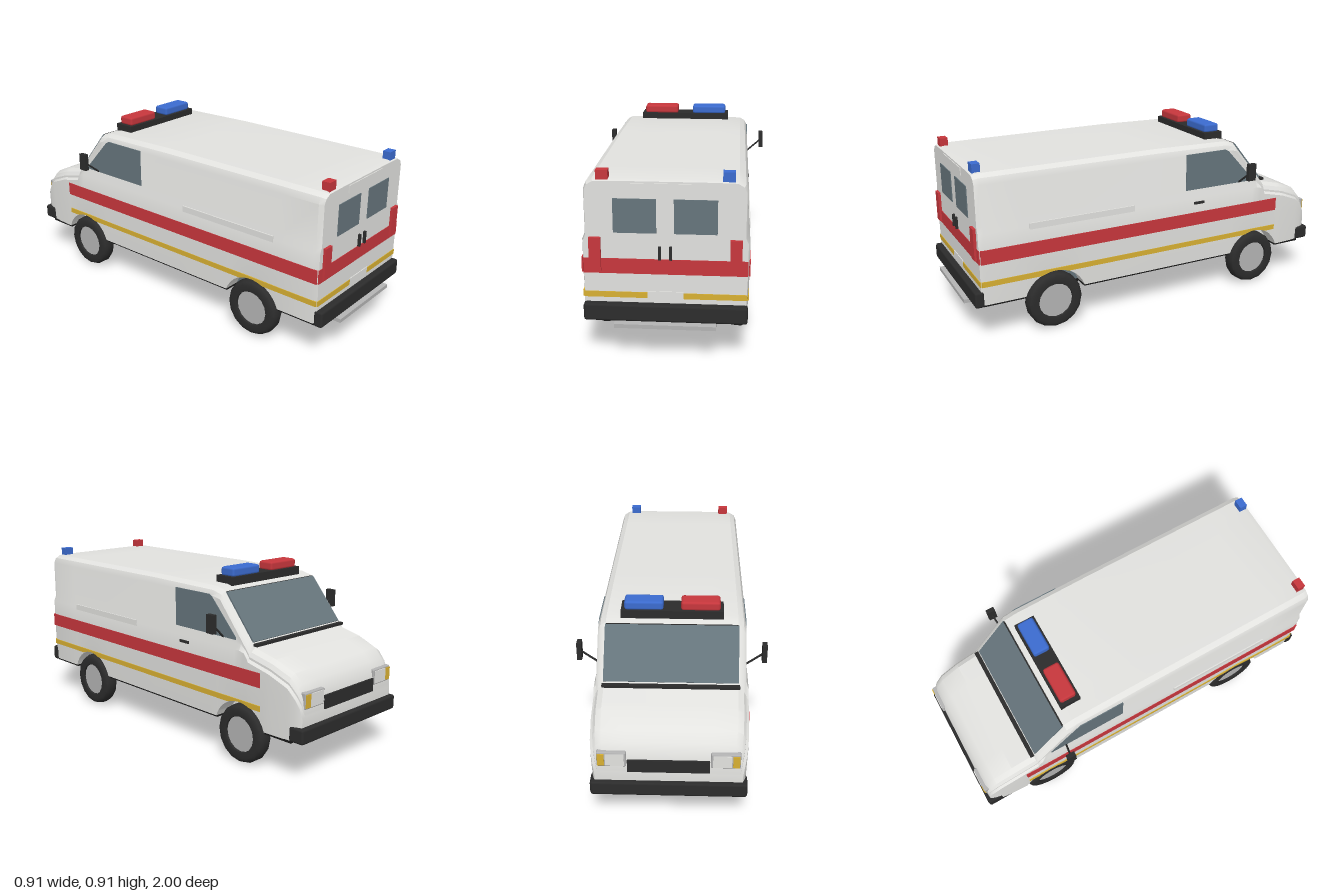
import * as THREE from 'three';
import { toCreasedNormals } from 'three/addons/utils/BufferGeometryUtils.js';
import { RoundedBoxGeometry } from 'three/addons/geometries/RoundedBoxGeometry.js';

const mat = (name, color) => Object.assign(new THREE.MeshStandardMaterial({ color }), { name });
const M = {
  white: mat('body white', 0xe2e2df),
  glass: mat('window glass', 0x66757c),
  red: mat('signal red', 0xc8373d),
  blue: mat('signal blue', 0x3c6cd0),
  yellow: mat('stripe yellow', 0xd8b033),
  black: mat('trim black', 0x2c2c2c),
  floor: mat('underbody black', 0x191919),
  grey: mat('metal grey', 0xb4b4b4),
};

const REAR = 0.575, FRONT = -0.617, AXLE = 0.145, ARCH = 0.165, SILL = 0.2;
// roof and bonnet line: z, height, side inset
const PROFILE = [
  [0.95, 0.83, 0.008], [0.925, 0.836, 0.001], [0, 0.838, 0], [-0.42, 0.83, 0], [-0.477, 0.815, 0],
  [-0.665, 0.59, 0], [-0.672, 0.575, 0], [-0.8, 0.545, 0.002], [-0.905, 0.503, 0.008],
  [-0.945, 0.46, 0.014], [-0.968, 0.42, 0.022], [-0.978, 0.37, 0.03],
];

function profileAt(z) {
  const i = Math.max(1, PROFILE.findIndex(p => p[0] <= z + 1e-9));
  const [a, b] = [PROFILE[i - 1], PROFILE[i]];
  const t = (a[0] - z) / (a[0] - b[0]);
  return [a[1] + (b[1] - a[1]) * t, a[2] + (b[2] - a[2]) * t];
}

function sillAt(z) {
  for (const c of [REAR, FRONT]) {
    const d = Math.abs(z - c);
    if (d < ARCH) return Math.max(SILL, AXLE + Math.sqrt(ARCH * ARCH - d * d));
  }
  return SILL;
}

// right half of the cross-section, from floor to roof
function section(z) {
  const [t, inset] = profileAt(z);
  const s = sillAt(z);
  return [
    [0.27, SILL], [0.27, s], [0.362 - inset, s],
    [0.368 - inset, Math.min(0.4, t - 0.09)],
    [0.368 - inset, Math.min(0.56, t - 0.06)],
    [0.356 - inset, Math.min(0.588, t - 0.048)],
    [0.356 - inset, Math.min(0.79, t - 0.037)],
    [0.344 - inset, Math.min(0.82, t - 0.016)],
    [0.317 - inset, t], [0.2, t + 0.002],
  ];
}

function bodyGeometry() {
  const zs = PROFILE.map(p => p[0]);
  const a0 = Math.asin((SILL - AXLE) / ARCH);
  for (const c of [REAR, FRONT])
    for (let i = 0; i <= 14; i++) zs.push(c + ARCH * Math.cos(a0 + (Math.PI - 2 * a0) * i / 14));
  zs.sort((a, b) => b - a);
  const pos = [], index = [];
  let n = 0;
  for (const z of zs) {
    const half = section(z);
    const ring = [...half, ...half.map(([x, y]) => [-x, y]).reverse()];
    n = ring.length;
    for (const [x, y] of ring) pos.push(x, y, z);
  }
  const at = k => new THREE.Vector3().fromArray(pos, k * 3);
  const tri = (a, b, c) => {
    const area = at(b).sub(at(a)).cross(at(c).sub(at(a))).length();
    if (area > 1e-9) index.push(a, b, c);
  };
  const quad = (a, b, c, d) => { tri(a, b, c); tri(a, c, d); };
  for (let i = 0; i < zs.length - 1; i++)
    for (let j = 0; j < n; j++) {
      const k = (j + 1) % n, p = i * n, q = p + n;
      quad(p + j, q + j, q + k, p + k);
    }
  // rear and nose caps
  const last = (zs.length - 1) * n;
  for (let j = 0; j < n / 2 - 1; j++) {
    quad(j, j + 1, n - 2 - j, n - 1 - j);
    quad(last + n - 1 - j, last + n - 2 - j, last + j + 1, last + j);
  }
  const g = new THREE.BufferGeometry();
  g.setAttribute('position', new THREE.Float32BufferAttribute(pos, 3));
  g.setIndex(index);
  return toCreasedNormals(g, 0.5);
}

export function createModel() {
  const van = new THREE.Group();
  van.name = 'emergencyVan';
  const add = (name, geo, material, x = 0, y = 0, z = 0) => {
    const m = new THREE.Mesh(geo, material);
    m.name = name;
    m.position.set(x, y, z);
    van.add(m);
    return m;
  };
  // box given by its limits on each axis
  const box = (name, material, [x0, x1], [y0, y1], [z0, z1], r = 0) => {
    const d = [x1 - x0, y1 - y0, z1 - z0];
    const g = r ? new RoundedBoxGeometry(...d, 1, r) : new THREE.BoxGeometry(...d);
    return add(name, g, material, (x0 + x1) / 2, (y0 + y1) / 2, (z0 + z1) / 2);
  };
  // thin plates on both sides, outline in (z, y)
  const sidePlates = (name, material, pts, x, depth = 0.006) => {
    const shape = new THREE.Shape(pts.map(([z, y]) => new THREE.Vector2(-z, y)));
    const g = new THREE.ExtrudeGeometry(shape, { depth, bevelEnabled: false }).rotateY(Math.PI / 2);
    add(name + 'Left', g, material, x);
    add(name + 'Right', g, material, -x - depth);
  };
  const rect = (z0, z1, y0, y1) => [[z0, y0], [z1, y0], [z1, y1], [z0, y1]];

  add('body', bodyGeometry(), M.white);

  // underbody between and beside the wheel wells
  box('floor', M.floor, [-0.285, 0.285], [0.19, 0.201], [-0.95, 0.94]);
  const wells = Math.sqrt(ARCH ** 2 - (SILL - AXLE) ** 2);
  for (const s of [-1, 1])
    for (const [z0, z1] of [[REAR + wells, 0.94], [FRONT + wells, REAR - wells], [-0.93, FRONT - wells]])
      box('floorSide', M.floor, s < 0 ? [-0.355, -0.28] : [0.28, 0.355], [0.19, 0.201], [z0, z1]);

  // side stripes, the yellow one cut by the arches
  sidePlates('redStripe', M.red, rect(-0.75, 0.945, 0.41, 0.48), 0.3645);
  const lower = [];
  for (let i = 0; i <= 120; i++) {
    const z = -0.75 + 1.695 * i / 120;
    lower.push([z, Math.max(0.295, sillAt(z))]);
  }
  sidePlates('yellowStripe', M.yellow, [...lower, [0.945, 0.322], [-0.75, 0.322]], 0.362);
  sidePlates('sidePanel', M.white, rect(0.14, 0.7, 0.545, 0.576), 0.365);

  // glazing
  sidePlates('cabWindow', M.glass,
    [[-0.166, 0.603], [-0.585, 0.603], [-0.585, 0.615], [-0.425, 0.785], [-0.405, 0.795], [-0.166, 0.795]], 0.3525);
  const screen = add('windscreen', new THREE.BoxGeometry(0.64, 0.275, 0.008), M.glass, 0, 0.7045, -0.573);
  screen.rotation.x = 0.696;
  box('windscreenBase', M.black, [-0.325, 0.325], [0.582, 0.595], [-0.69, -0.668]);
  box('windscreenTop', M.black, [-0.315, 0.315], [0.806, 0.813], [-0.488, -0.48]);

  // rear doors
  for (const s of [-1, 1]) {
    const span = (a, b) => (s < 0 ? [-b, -a] : [a, b]);
    box('rearWindow', M.glass, span(0.038, 0.226), [0.6, 0.755], [0.947, 0.954]);
    box('rearHandle', M.black, span(0.018, 0.03), [0.48, 0.541], [0.947, 0.962]);
    box('rearYellowStripe', M.yellow, span(0.08, 0.361), [0.295, 0.322], [0.947, 0.953]);
    box('tailLight', M.red, span(0.282, 0.334), [0.421, 0.578], [0.945, 0.964]);
    box('cornerBeacon', s < 0 ? M.red : M.blue, span(0.245, 0.298), [0.828, 0.876], [0.9, 0.94]);
    // headlights with indicator corners
    box('headlightFrame', M.grey, span(0.19, 0.325), [0.352, 0.43], [-0.981, -0.94], 0.006);
    box('headlight', M.white, span(0.2, 0.285), [0.36, 0.422], [-0.985, -0.976]);
    box('indicator', M.yellow, span(0.29, 0.321), [0.36, 0.422], [-0.985, -0.976]);
    // mirrors
    box('mirror', M.black, span(0.434, 0.457), [0.636, 0.726], [-0.535, -0.49]);
    const arm = new THREE.LineCurve3(
      new THREE.Vector3(s * 0.355, 0.604, -0.5), new THREE.Vector3(s * 0.438, 0.674, -0.512));
    add('mirrorArm', new THREE.TubeGeometry(arm, 1, 0.005, 6), M.black);
    // roof light lenses
    box('roofLight', s < 0 ? M.red : M.blue, span(0.042, 0.231), [0.862, 0.908], [-0.442, -0.355], 0.012);
  }
  box('roofLightBase', M.black, [-0.247, 0.247], [0.825, 0.866], [-0.452, -0.343]);
  box('rearRedStripe', M.red, [-0.361, 0.361], [0.41, 0.48], [0.947, 0.953]);
  box('numberPlate', M.white, [-0.08, 0.08], [0.292, 0.328], [0.945, 0.954]);
  box('rearHeader', M.white, [-0.15, 0.15], [0.787, 0.824], [0.946, 0.954]);
  box('doorHandle', M.black, [0.36, 0.375], [0.526, 0.539], [-0.272, -0.21]);

  // grille, bumpers and step
  box('grille', M.black, [-0.187, 0.187], [0.325, 0.39], [-0.984, -0.96]);
  box('frontBumper', M.black, [-0.36, 0.36], [0.198, 0.272], [-1, -0.918], 0.012);
  box('rearBumper', M.black, [-0.364, 0.364], [0.19, 0.272], [0.935, 0.982], 0.012);
  box('rearStep', M.grey, [-0.226, 0.226], [0.168, 0.187], [0.945, 1]);

  // wheels, with liners behind the rear pair
  const tyre = new THREE.LatheGeometry([
    [0.09, -0.034], [0.122, -0.04], [0.137, -0.033], [0.145, -0.016], [0.145, 0.016],
    [0.137, 0.033], [0.122, 0.04], [0.09, 0.036], [0.088, 0.018],
  ].map(p => new THREE.Vector2(...p)), 16);
  const tyreGeo = toCreasedNormals(tyre, 0.7).rotateZ(-Math.PI / 2);
  const hubGeo = new THREE.CylinderGeometry(0.09, 0.09, 0.054, 16).rotateZ(Math.PI / 2);
  const linerGeo = new THREE.CylinderGeometry(0.163, 0.163, 0.006, 32, 1, false, -0.35 * Math.PI, 0.7 * Math.PI);
  linerGeo.rotateX(-Math.PI / 2).rotateY(Math.PI / 2);
  for (const s of [-1, 1])
    for (const z of [REAR, FRONT]) {
      const t = add('tyre', tyreGeo, M.black, s * 0.325, AXLE, z);
      if (s < 0) t.rotation.y = Math.PI;
      add('wheelHub', hubGeo, M.grey, s * 0.323, AXLE, z);
      if (z === REAR) {
        const liner = add('archLiner', new THREE.CircleGeometry(0.164, 32, 0.35, Math.PI - 0.7),
          M.glass, s * 0.276, AXLE, z);
        liner.rotation.y = s * Math.PI / 2;
      }
    }
  return van;
}
